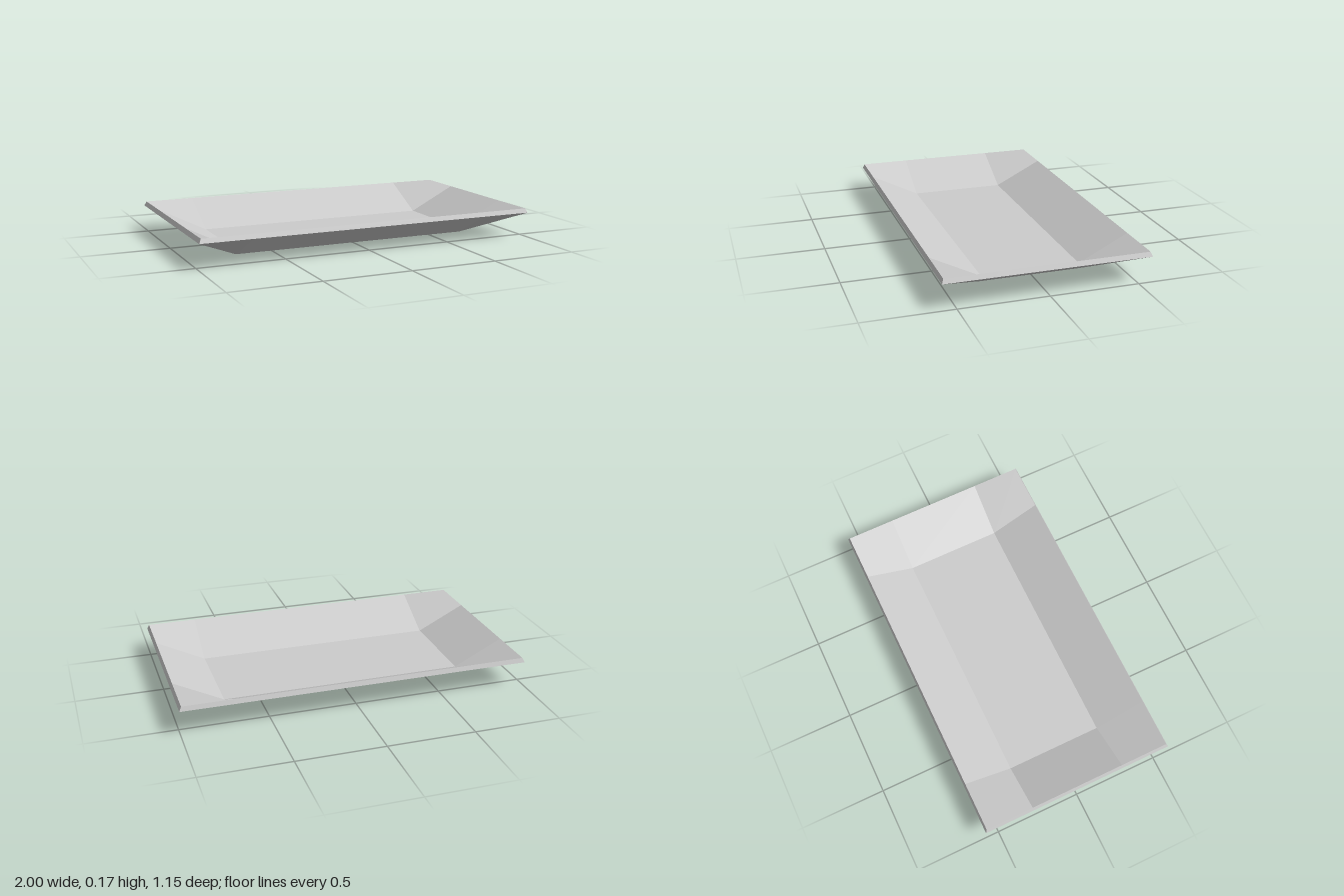
import * as THREE from 'three';

// Geometry from quads, each shaded with one face normal
function quadGeometry(quads) {
  const position = [], normal = [];
  for (const [a, b, c, d] of quads) {
    const n = c.clone().sub(a).cross(d.clone().sub(b)).normalize();
    for (const p of [a, b, c, a, c, d]) {
      position.push(p.x, p.y, p.z);
      normal.push(n.x, n.y, n.z);
    }
  }
  const g = new THREE.BufferGeometry();
  g.setAttribute('position', new THREE.Float32BufferAttribute(position, 3));
  g.setAttribute('normal', new THREE.Float32BufferAttribute(normal, 3));
  return g;
}

// 4 x 4 points of a dish: flat floor inside, raised edge outside
function dishPoints(rimX, rimZ, rimY, floorX, floorZ, floorY) {
  const xs = [-rimX, -floorX, floorX, rimX];
  const zs = [-rimZ, -floorZ, floorZ, rimZ];
  const inside = (i) => i === 1 || i === 2;
  return xs.map((x, i) => zs.map((z, j) =>
    new THREE.Vector3(x, inside(i) && inside(j) ? floorY : rimY, z)));
}

// Nine faces of a dish, facing up or down
function dishQuads(p, up) {
  const quads = [];
  for (let i = 0; i < 3; i++) {
    for (let j = 0; j < 3; j++) {
      let q = [p[i][j], p[i][j + 1], p[i + 1][j + 1], p[i + 1][j]];
      // corner folds run from the rim corner to the floor corner
      if (i + j === 2 && i !== j) q = [q[1], q[2], q[3], q[0]];
      quads.push(up ? q : [q[0], q[3], q[2], q[1]]);
    }
  }
  return quads;
}

// Boundary of the point grid, counter-clockwise seen from above
function boundary(p) {
  const loop = [];
  for (let k = 0; k < 3; k++) loop.push(p[0][k]);
  for (let k = 0; k < 3; k++) loop.push(p[k][3]);
  for (let k = 3; k > 0; k--) loop.push(p[3][k]);
  for (let k = 3; k > 0; k--) loop.push(p[k][0]);
  return loop;
}

export function createModel() {
  const group = new THREE.Group();
  group.name = 'tray';
  const material = new THREE.MeshStandardMaterial({ color: 0xcccccc });

  const outer = dishPoints(1, 0.575, 0.145, 0.71, 0.287, 0);
  const inner = dishPoints(0.988, 0.565, 0.17, 0.704, 0.281, 0.027);

  const add = (name, quads) => {
    const mesh = new THREE.Mesh(quadGeometry(quads), material);
    mesh.name = name;
    group.add(mesh);
  };

  add('trayInside', dishQuads(inner, true));
  add('trayUnderside', dishQuads(outer, false));

  // Narrow rim joining the two skins
  const lo = boundary(outer), hi = boundary(inner);
  add('trayRim', lo.map((a, k) => {
    const n = (k + 1) % lo.length;
    return [a, lo[n], hi[n], hi[k]];
  }));

  return group;
}
